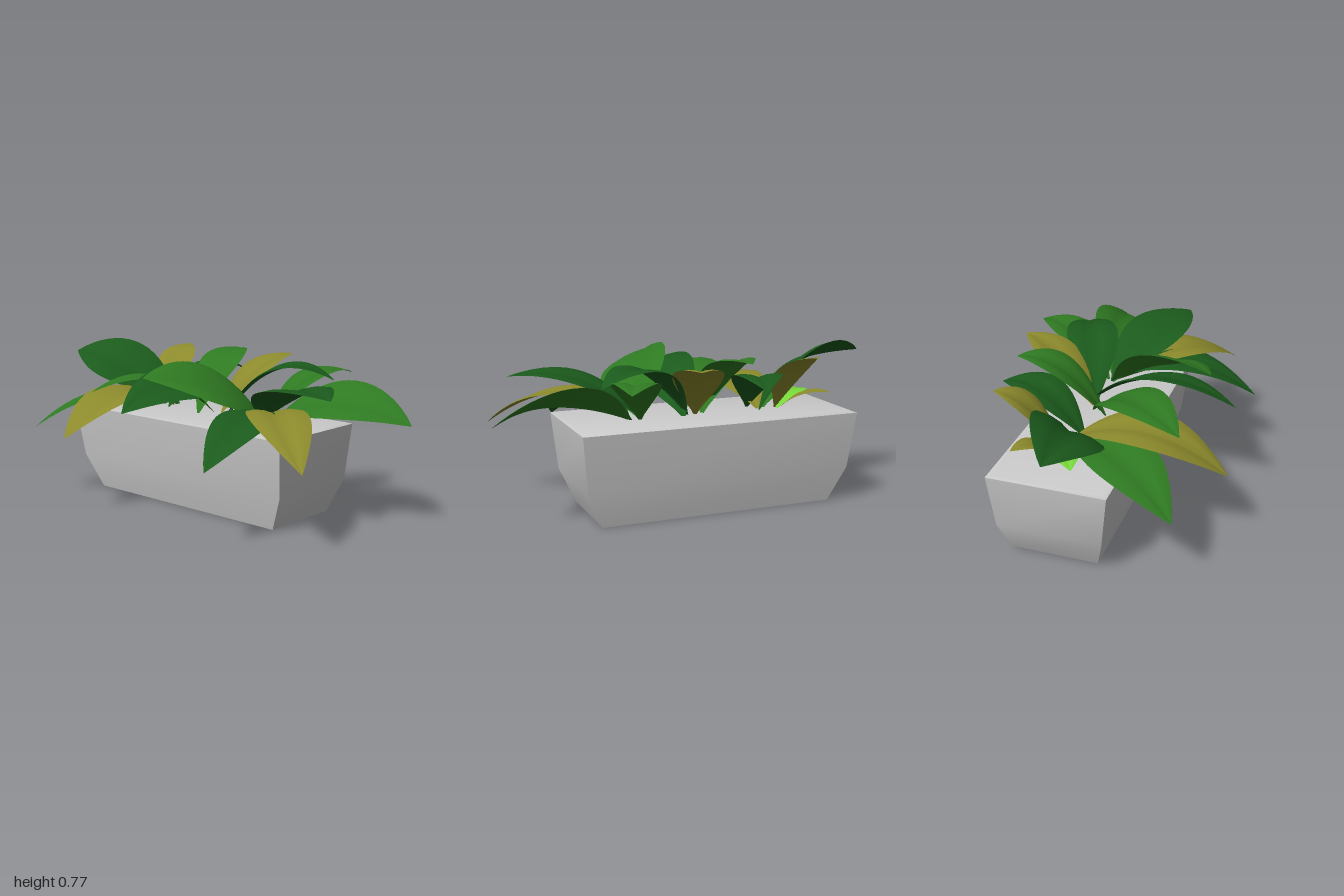
import * as THREE from 'three';
import { toCreasedNormals } from 'three/addons/utils/BufferGeometryUtils.js';

const mat = (color, side = THREE.FrontSide) =>
  new THREE.MeshStandardMaterial({ color, side });

// Rectangular trough lofted through rings [y, x0, x1, z0, z1], capped at both ends
function planterGeometry() {
  const rings = [
    [0, -0.09, 0.335, -0.67, 0.505],
    [0.17, -0.138, 0.37, -0.755, 0.58],
    [0.447, -0.175, 0.392, -0.79, 0.605],
    [0.454, -0.155, 0.372, -0.77, 0.585],
  ];
  const pos = [], idx = [];
  for (const [y, x0, x1, z0, z1] of rings)
    pos.push(x0, y, z1, x1, y, z1, x1, y, z0, x0, y, z0);
  for (let r = 0; r < rings.length - 1; r++)
    for (let i = 0; i < 4; i++) {
      const a = r * 4 + i, b = r * 4 + (i + 1) % 4;
      idx.push(a, b, b + 4, a, b + 4, a + 4);
    }
  const t = (rings.length - 1) * 4;
  idx.push(0, 2, 1, 0, 3, 2, t, t + 1, t + 2, t, t + 2, t + 3);
  const g = new THREE.BufferGeometry();
  g.setAttribute('position', new THREE.Float32BufferAttribute(pos, 3));
  g.setIndex(idx);
  return toCreasedNormals(g, 0.6);
}

// Pointed oval blade swept along an arch from the soil to its tip, folded at the midrib
function leafGeometry([bx, bz, tx, tz, ty, mid, width, roll, bow = 0]) {
  const base = new THREE.Vector3(bx, 0.45, bz), tip = new THREE.Vector3(tx, ty, tz);
  const flat = new THREE.Vector3(-(tz - bz), 0, tx - bx).normalize();
  const ctrl = base.clone().lerp(tip, 0.46).addScaledVector(flat, 2 * bow);
  ctrl.y = 2 * mid - (base.y + ty) / 2;
  const curve = new THREE.QuadraticBezierCurve3(base, ctrl, tip);
  const N = 18, M = 6, pos = [], idx = [];
  for (let i = 0; i <= N; i++) {
    const t = i / N, p = curve.getPoint(t), tan = curve.getTangent(t);
    const side = flat.clone().applyAxisAngle(tan, -roll);
    const up = new THREE.Vector3().crossVectors(side, tan).normalize();
    if (up.y < 0) up.negate();
    const stem = 0.05 * (1 - t);
    const w = width / 2 * Math.max(stem, Math.pow(Math.max(0, Math.sin(Math.PI * Math.pow(t, 1.05))), 0.9));
    for (let j = 0; j <= M; j++) {
      const u = j / M * 2 - 1, a = Math.abs(u);
      const q = p.clone().addScaledVector(side, u * w).addScaledVector(up, w * (0.45 * a - 0.35 * a * a));
      pos.push(q.x, i < 4 ? Math.max(q.y, 0.45) : q.y, q.z);
      if (i < N && j < M) {
        const k = i * (M + 1) + j;
        idx.push(k, k + 1, k + M + 2, k, k + M + 2, k + M + 1);
      }
    }
  }
  const g = new THREE.BufferGeometry();
  g.setAttribute('position', new THREE.Float32BufferAttribute(pos, 3));
  g.setIndex(idx);
  g.computeVertexNormals();
  return g;
}

export function createModel() {
  const model = new THREE.Group();
  model.name = 'planterWithPlants';

  const planter = new THREE.Mesh(planterGeometry(), mat(0xcccccc));
  planter.name = 'planter';
  model.add(planter);

  const colors = {
    dark: mat(0x1b5a1c, THREE.DoubleSide),
    green: mat(0x2f7a22, THREE.DoubleSide),
    olive: mat(0x8c8a2c, THREE.DoubleSide),
    lime: mat(0x76d63a, THREE.DoubleSide),
  };

  // Leaves per plant: colour, [base x, base z, tip x, tip z, tip y, mid y, width, roll, sideways bow]
  const plants = {
    backPlant: [
      ['dark', [0.18, -0.36, 0.03, -1.0, 0.7, 0.66, 0.35, 0.45, -0.06]],
      ['green', [0.13, -0.4, -0.46, -0.77, 0.37, 0.52, 0.31, -0.1, -0.02]],
      ['olive', [0.15, -0.37, -0.61, -0.36, 0.39, 0.56, 0.34, 0]],
      ['dark', [0.08, -0.34, 0.55, -0.22, 0.62, 0.64, 0.24, 0]],
      ['olive', [0.15, -0.46, 0.45, -0.53, 0.74, 0.66, 0.21, 0]],
      ['olive', [0.16, -0.48, 0.31, -0.69, 0.54, 0.53, 0.12, 0]],
      ['lime', [0.17, -0.46, 0.02, -0.7, 0.5, 0.52, 0.15, 0]],
    ],
    middlePlant: [
      ['green', [0.14, -0.07, -0.39, -0.41, 0.58, 0.63, 0.28, -0.05]],
      ['dark', [0.18, 0.04, -0.56, -0.01, 0.55, 0.63, 0.32, 0.32]],
      ['dark', [0.15, 0.01, 0.37, 0.51, 0.65, 0.69, 0.26, 0]],
      ['olive', [0.15, -0.03, 0.56, 0.11, 0.73, 0.66, 0.24, 0]],
      ['green', [0.06, -0.11, 0.49, -0.17, 0.74, 0.69, 0.24, 0]],
    ],
    frontPlant: [
      ['green', [0.15, 0.25, -0.43, 0.0, 0.7, 0.64, 0.36, 0.43, -0.05]],
      ['dark', [0.14, 0.3, -0.56, 0.5, 0.36, 0.53, 0.29, 0, -0.04]],
      ['olive', [0.12, 0.3, -0.37, 0.88, 0.38, 0.55, 0.28, 0, 0.03]],
      ['dark', [0.15, 0.24, -0.11, 0.83, 0.65, 0.63, 0.34, 0, 0.02]],
      ['green', [0.16, 0.3, 0.3, 0.99, 0.5, 0.58, 0.32, -0.45]],
      ['green', [0.17, 0.26, 0.61, 0.45, 0.66, 0.65, 0.23, 0]],
    ],
  };
  for (const [name, leaves] of Object.entries(plants)) {
    const plant = new THREE.Group();
    plant.name = name;
    leaves.forEach(([color, spec], i) => {
      const leaf = new THREE.Mesh(leafGeometry(spec), colors[color]);
      leaf.name = `leaf${i + 1}`;
      plant.add(leaf);
    });
    model.add(plant);
  }
  return model;
}
